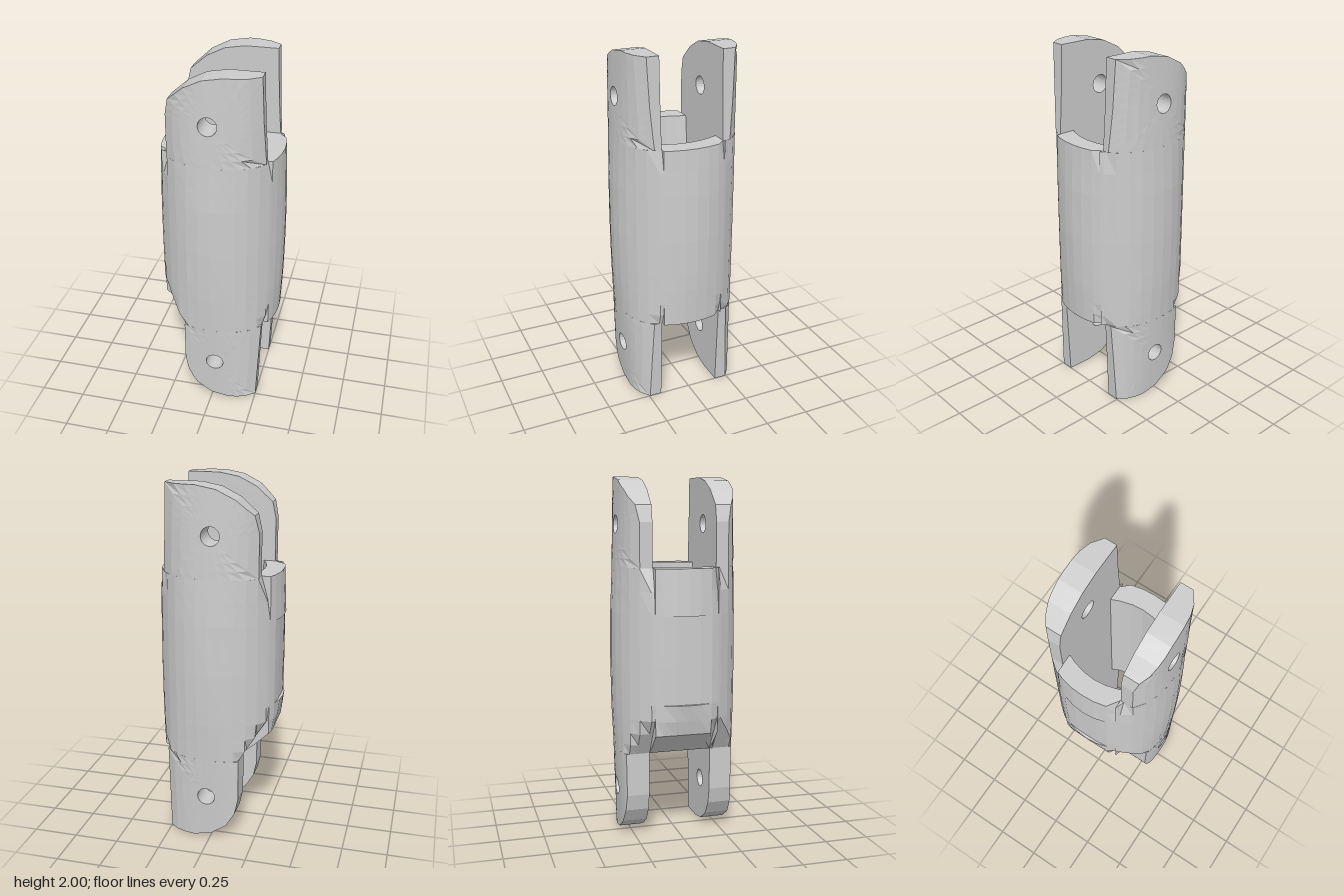
import * as THREE from 'three';

const R = 0.35, SLOT = 0.176, BOTTOM = 0.49, TOP = 1.52;

// Piecewise linear lookup through [input, output] pairs
function ramp(t, pts) {
  if (t <= pts[0][0]) return pts[0][1];
  for (let i = 1; i < pts.length; i++) {
    const [a, va] = pts[i - 1], [b, vb] = pts[i];
    if (t <= b) return va + (vb - va) * (t - a) / (b - a);
  }
  return pts[pts.length - 1][1];
}

// How far the barrel has drawn in at a height
const drop = y => ramp(Math.abs(y - 1), [[0, 0], [0.27, 0.004], [0.52, 0.017], [1, 0.038]]);

// Joins closed profile loops into a closed skin
function loft(cols) {
  const n = cols.length, m = cols[0].length, index = [];
  for (let i = 0; i < n; i++) {
    for (let j = 0; j < m; j++) {
      const a = i * m + j, b = i * m + (j + 1) % m;
      const c = ((i + 1) % n) * m + (j + 1) % m, d = ((i + 1) % n) * m + j;
      index.push(a, b, c, a, c, d);
    }
  }
  const geo = new THREE.BufferGeometry();
  geo.setAttribute('position', new THREE.Float32BufferAttribute(cols.flat(2), 3));
  geo.setIndex(index);
  const flat = geo.toNonIndexed();
  flat.computeVertexNormals();
  return flat;
}

// Hollow barrel: one profile per angle, up the outside and down the bore
function barrelGeometry() {
  const levels = [BOTTOM, 0.55, 0.62, 0.7, 0.79, 0.791, 1, 1.269, 1.27, 1.4, TOP];
  const edge = Math.asin(SLOT / R);
  const angles = [];
  for (let i = 0; i < 32; i++) angles.push({ t: i * Math.PI / 16 });
  // doubled columns where the side walls meet the front and back plates
  for (const t of [edge, Math.PI - edge, Math.PI + edge, 2 * Math.PI - edge]) {
    const s = Math.sign(Math.sin(t) * Math.cos(t));
    angles.push({ t: t - s * 1e-5, plate: s < 0 }, { t: t + s * 1e-5, plate: s > 0 });
  }
  angles.sort((p, q) => p.t - q.t);

  const cols = angles.map(({ t, plate }) => {
    const isPlate = plate ?? Math.abs(Math.sin(t)) * R > SLOT;
    const outer = [], inner = [];
    for (const y of levels) {
      const r = R - drop(y) * Math.cos(2 * t) ** 2;
      let x = r * Math.cos(t), z = r * Math.sin(t);
      if (isPlate) {
        // plates narrow towards the fork arms
        x = Math.max(x, ramp(y, [[BOTTOM, -0.16], [0.62, -0.24], [0.79, -0.35], [1.27, -0.32], [TOP, -0.25]]));
        x = Math.min(x, ramp(y, [[BOTTOM, 0.27], [0.62, 0.31], [1.4, 0.31], [TOP, 0.275]]));
      } else {
        // slanted lower corner and recessed flat panel
        x = Math.max(x, ramp(y, [[BOTTOM, -0.16], [0.62, -0.31], [0.79, -0.35]]));
        if (y > 0.79 && y < 1.27) x = Math.max(x, -0.33);
      }
      const iz = isPlate ? SLOT * Math.sign(z) : THREE.MathUtils.clamp(z, -SLOT, SLOT);
      const bow = 0.043 * (iz / SLOT) ** 2;
      const left = -ramp(y, [[BOTTOM, 0.133], [TOP, 0.23]]) + bow, right = 0.228 - bow;
      const ix = isPlate ? THREE.MathUtils.clamp(x, left, right) : (Math.cos(t) < 0 ? left : right);
      outer.push([x, y, z]);
      inner.unshift([ix, y, iz]);
    }
    return [...outer, ...inner];
  });
  return loft(cols);
}

// Fork arm: profiles radiate from the pin hole to the outline
function armGeometry(corners, [hx, hy], side) {
  const outline = [];
  corners.forEach(([x, y], i) => {
    const [nx, ny] = corners[(i + 1) % corners.length];
    const steps = Math.ceil(Math.hypot(nx - x, ny - y) / 0.07);
    for (let k = 0; k < steps; k++) outline.push([x + (nx - x) * k / steps, y + (ny - y) * k / steps]);
  });
  const face = (x, y) => Math.sqrt(R * R - x * x) - drop(y) * (1 - 2 * (x / R) ** 2) ** 2;
  const cols = outline.map(([x, y]) => {
    const a = Math.atan2(y - hy, x - hx);
    const sx = hx + 0.05 * Math.cos(a), sy = hy + 0.05 * Math.sin(a);
    const outer = [], inner = [];
    for (let k = 0; k <= 4; k++) {
      const px = sx + (x - sx) * k / 4, py = sy + (y - sy) * k / 4;
      outer.push([px, py, side * face(px, py)]);
      inner.unshift([px, py, side * SLOT]);
    }
    return [...outer, ...inner];
  });
  return loft(side > 0 ? cols : cols.reverse());
}

export function createModel() {
  const group = new THREE.Group();
  const material = new THREE.MeshStandardMaterial({ color: 0xcccccc, flatShading: true });
  const add = (name, geo) => {
    const mesh = new THREE.Mesh(geo, material);
    mesh.name = name;
    group.add(mesh);
  };

  add('barrel', barrelGeometry());

  const upper = [[-0.25, TOP], [0.275, TOP], [0.26, 1.75], [0.25, 2], [0.07, 2], [-0.04, 1.98],
    [-0.14, 1.93], [-0.23, 1.85], [-0.25, 1.76]];
  const lower = [[0.27, BOTTOM], [-0.16, BOTTOM], [-0.16, 0.25], [-0.14, 0.16], [-0.09, 0.08],
    [0, 0.02], [0.1, 0], [0.25, 0], [0.26, 0.25]];
  for (const [side, label] of [[1, 'Front'], [-1, 'Back']]) {
    add('upperArm' + label, armGeometry(upper, [-0.01, 1.745], side));
    add('lowerArm' + label, armGeometry(lower, [0.02, 0.26], side));
  }
  return group;
}
